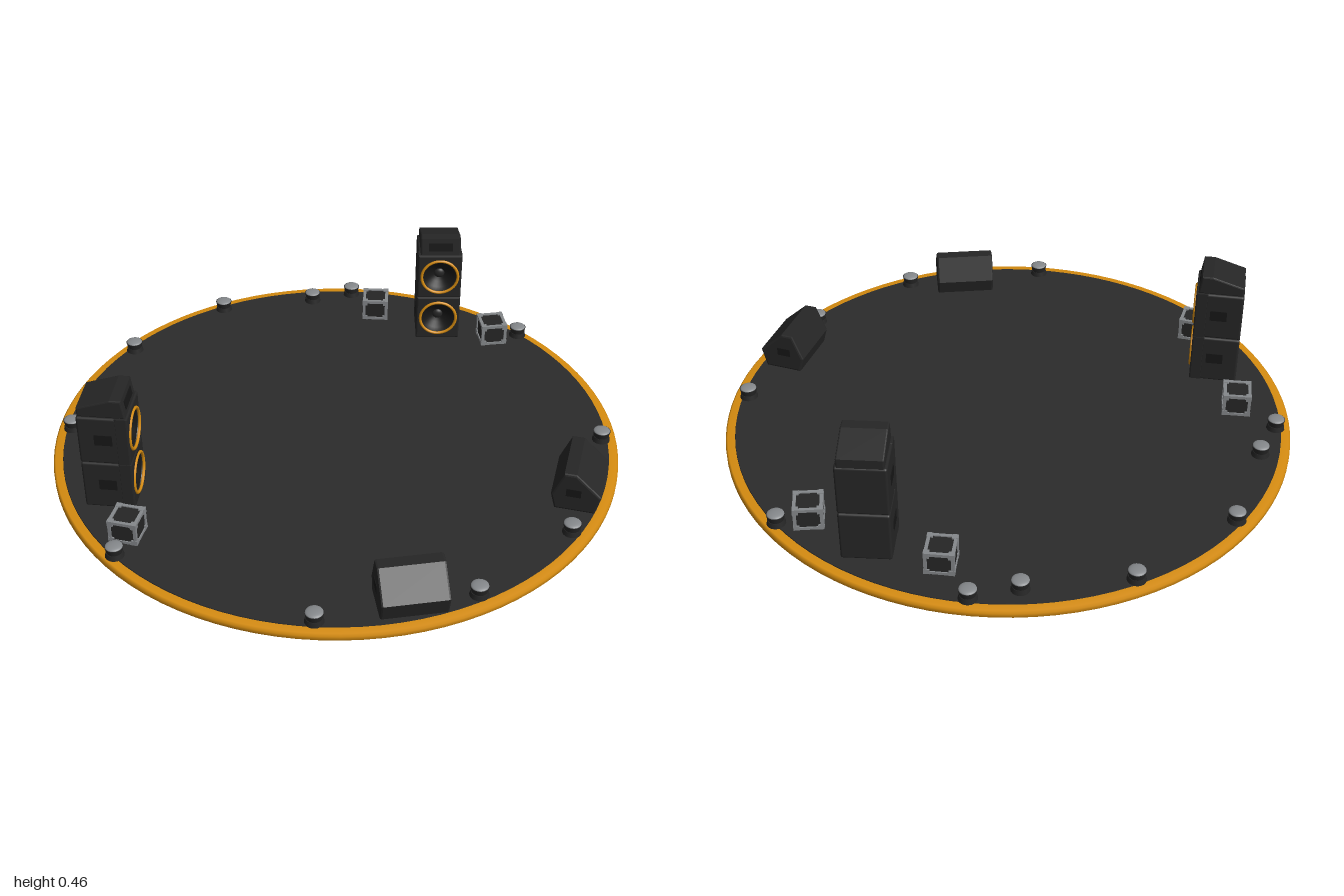
import * as THREE from 'three';
import { RoundedBoxGeometry } from 'three/addons/geometries/RoundedBoxGeometry.js';

const mat = (name, color, side = THREE.FrontSide) => {
  const m = new THREE.MeshStandardMaterial({ color, side });
  m.name = name;
  return m;
};
const DECK = mat('deck charcoal', 0x2b2b2b, THREE.DoubleSide);
const CABINET = mat('cabinet black', 0x262626);
const RECESS = mat('recess black', 0x171717, THREE.DoubleSide);
const ORANGE = mat('orange trim', 0xd68c10);
const METAL = mat('grey metal', 0x85888b);
const FLOOR = 0.032;

function add(parent, name, geo, material, x = 0, y = 0, z = 0) {
  const m = new THREE.Mesh(geo, material);
  m.name = name;
  m.position.set(x, y, z);
  parent.add(m);
  return m;
}

// side profile of [z, y] points swept across the width, with bevelled edges
function sideExtrude(points, width, bevel) {
  const shape = new THREE.Shape(points.map(p => new THREE.Vector2(p[0], p[1])));
  const geo = new THREE.ExtrudeGeometry(shape, {
    depth: width - 2 * bevel, bevelEnabled: true, bevelSize: bevel,
    bevelThickness: bevel, bevelOffset: -bevel, bevelSegments: 2,
  });
  geo.translate(0, 0, -width / 2 + bevel);
  return geo.rotateY(-Math.PI / 2);
}

function cabinet(parent, y) {
  const w = 0.166, h = 0.183, d = 0.17, r = 0.064;
  const g = new THREE.Group();
  g.name = 'speakerCabinet';
  g.position.y = y + h / 2;
  parent.add(g);
  add(g, 'cabinetBody', new RoundedBoxGeometry(w, h, d - 0.035, 2, 0.008), CABINET, 0, 0, -0.0175);
  // front baffle with a round opening
  const baffle = new THREE.Shape();
  const a = w / 2 - 0.005, b = h / 2 - 0.005;
  baffle.moveTo(-a, -b).lineTo(a, -b).lineTo(a, b).lineTo(-a, b).closePath();
  baffle.holes.push(new THREE.Path().absarc(0, 0, r + 0.005, 0, Math.PI * 2, true));
  add(g, 'frontBaffle', new THREE.ExtrudeGeometry(baffle, {
    depth: 0.035, bevelEnabled: true, bevelSize: 0.005, bevelThickness: 0.005,
    bevelSegments: 2, curveSegments: 32,
  }), CABINET, 0, 0, d / 2 - 0.04);
  // driver cone, dust cap and orange ring
  const cone = new THREE.LatheGeometry([[0.018, 0], [0.035, 0.008], [0.052, 0.022], [r, 0.028]]
    .map(p => new THREE.Vector2(p[0], p[1])), 32).rotateX(Math.PI / 2);
  add(g, 'driverCone', cone, RECESS, 0, 0, d / 2 - 0.033);
  const cap = add(g, 'dustCap', new THREE.SphereGeometry(0.02, 20, 12), CABINET, 0, 0, d / 2 - 0.034);
  cap.scale.z = 0.6;
  add(g, 'driverRing', new THREE.TorusGeometry(0.069, 0.0055, 8, 40), ORANGE, 0, 0, d / 2 + 0.001);
  // side handles
  for (const s of [-1, 1])
    add(g, 'sideHandle', new THREE.BoxGeometry(0.004, 0.04, 0.06), RECESS, s * w / 2, 0.005, 0);
}

function speakerTower() {
  const g = new THREE.Group();
  g.name = 'speakerTower';
  cabinet(g, 0);
  cabinet(g, 0.185);
  // sloping horn box on top
  add(g, 'hornBox', sideExtrude([[-0.082, 0.366], [0.078, 0.366], [0.068, 0.434], [0.03, 0.434], [-0.082, 0.399]], 0.15, 0.005), CABINET);
  const horn = add(g, 'hornMouth', new THREE.BoxGeometry(0.09, 0.032, 0.006), RECESS, 0, 0.4, 0.0725);
  horn.rotation.x = -0.146;
  return g;
}

function floorMonitor() {
  const g = new THREE.Group();
  g.name = 'floorMonitor';
  const profile = [[-0.065, 0], [0.07, 0], [0.085, 0.055], [0.047, 0.148], [0.005, 0.148], [-0.083, 0.068]];
  add(g, 'monitorBody', sideExtrude(profile, 0.22, 0.007), CABINET);
  for (const s of [-1, 1])
    add(g, 'endHandle', new THREE.BoxGeometry(0.004, 0.03, 0.05), RECESS, s * 0.11, 0.075, 0.01);
  return g;
}

function equipmentCase() {
  const g = new THREE.Group();
  g.name = 'equipmentCase';
  const s = 0.098, h = 0.085, t = 0.011, a = (s - t) / 2;
  add(g, 'caseBody', new THREE.BoxGeometry(s - 0.008, h - 0.008, s - 0.008), CABINET, 0, h / 2, 0);
  // metal edging and corners
  for (const i of [-1, 1]) {
    for (const j of [-1, 1]) {
      const y = h / 2 + j * (h - t) / 2;
      add(g, 'edgeBar', new THREE.BoxGeometry(s, t, t), METAL, 0, y, i * a);
      add(g, 'edgeBar', new THREE.BoxGeometry(t, t, s), METAL, i * a, y, 0);
      add(g, 'cornerPost', new THREE.BoxGeometry(t, h, t), METAL, i * a, h / 2, j * a);
      for (const k of [-1, 1])
        add(g, 'cornerCap', new THREE.BoxGeometry(0.02, 0.02, 0.02), METAL,
          i * (s / 2 - 0.009), h / 2 + k * (h / 2 - 0.009), j * (s / 2 - 0.009));
    }
  }
  return g;
}

function stageLight() {
  const g = new THREE.Group();
  g.name = 'stageLight';
  add(g, 'lightBase', new THREE.CylinderGeometry(0.028, 0.032, 0.018, 20), CABINET, 0, 0.009, 0);
  add(g, 'lightHousing', new THREE.CylinderGeometry(0.031, 0.026, 0.022, 20), CABINET, 0, 0.028, 0);
  const lens = add(g, 'lightLens', new THREE.SphereGeometry(0.029, 20, 8, 0, Math.PI * 2, 0, Math.PI / 2), METAL, 0, 0.039, 0);
  lens.scale.y = 0.28;
  return g;
}

export function createModel() {
  const root = new THREE.Group();
  root.name = 'roundStage';

  // round deck with orange rim
  add(root, 'deck', new THREE.CylinderGeometry(0.966, 0.975, 0.031, 96), DECK, 0, 0.0165, 0);
  const rim = [[0.97, 0.001], [0.992, 0.001], [1, 0.007], [1, 0.022], [0.993, 0.029], [0.955, 0.029]];
  add(root, 'stageRim', new THREE.LatheGeometry(rim.map(p => new THREE.Vector2(p[0], p[1])), 96), ORANGE);
  add(root, 'underside', new THREE.CylinderGeometry(0.975, 0.975, 0.002, 96), DECK, 0, 0.001, 0);

  // each item stands on both sides; angle is the right-hand item's facing
  const pair = (build, x, z, degrees = 0) => {
    for (const s of [-1, 1]) {
      const g = build();
      g.position.set(s * x, FLOOR - 0.001, z);
      g.rotation.y = -s * THREE.MathUtils.degToRad(degrees);
      root.add(g);
    }
  };
  pair(speakerTower, 0.77, -0.262, 42);
  pair(floorMonitor, 0.4, 0.79, 147);
  pair(equipmentCase, 0.655, -0.49, 45);
  pair(equipmentCase, 0.868, -0.055, 34);
  for (const [x, z] of [[0.22, -0.92], [0.53, -0.73], [0.68, -0.66], [0.96, 0], [0.68, 0.655], [0.22, 0.912]])
    pair(stageLight, x, z);
  return root;
}
